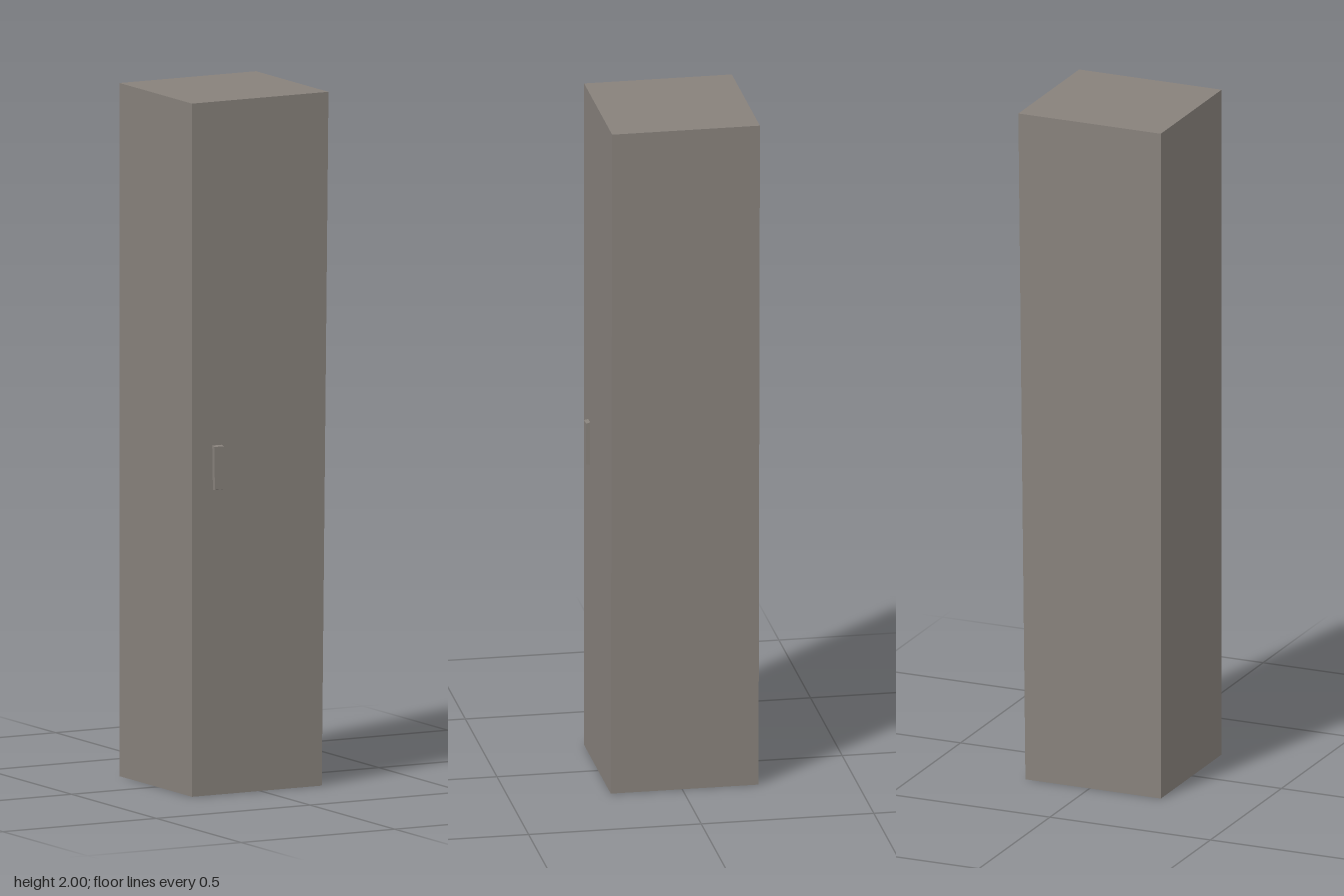
import * as THREE from 'three';

// Box whose vertices are moved by a rule
function shapedBox(w, h, d, rule) {
  const geo = new THREE.BoxGeometry(w, h, d);
  const pos = geo.attributes.position;
  const v = new THREE.Vector3();
  for (let i = 0; i < pos.count; i++) {
    rule(v.fromBufferAttribute(pos, i));
    pos.setXYZ(i, v.x, v.y, v.z);
  }
  geo.computeVertexNormals();
  return geo;
}

export function createModel() {
  const group = new THREE.Group();
  const greyMetal = new THREE.MeshStandardMaterial({ color: 0x87817b });
  greyMetal.name = 'warm grey metal';

  // Tall cabinet, its left side leaning inwards towards the floor
  const cabinet = new THREE.Mesh(shapedBox(0.444, 2, 0.428, (v) => {
    if (v.x > 0 && v.y < 0) v.x -= 0.022;
  }), greyMetal);
  cabinet.name = 'cabinet';
  cabinet.position.set(0, 1, -0.007);
  group.add(cabinet);

  // Small door handle, narrower at the bottom and sloped at the ends
  const handle = new THREE.Mesh(shapedBox(0.031, 0.13, 0.014, (v) => {
    if (v.y < 0) v.x *= 0.85;
    if (v.z > 0) v.y *= 0.95;
  }), greyMetal);
  handle.name = 'doorHandle';
  handle.position.set(-0.141, 0.944, 0.212);
  group.add(handle);

  return group;
}
